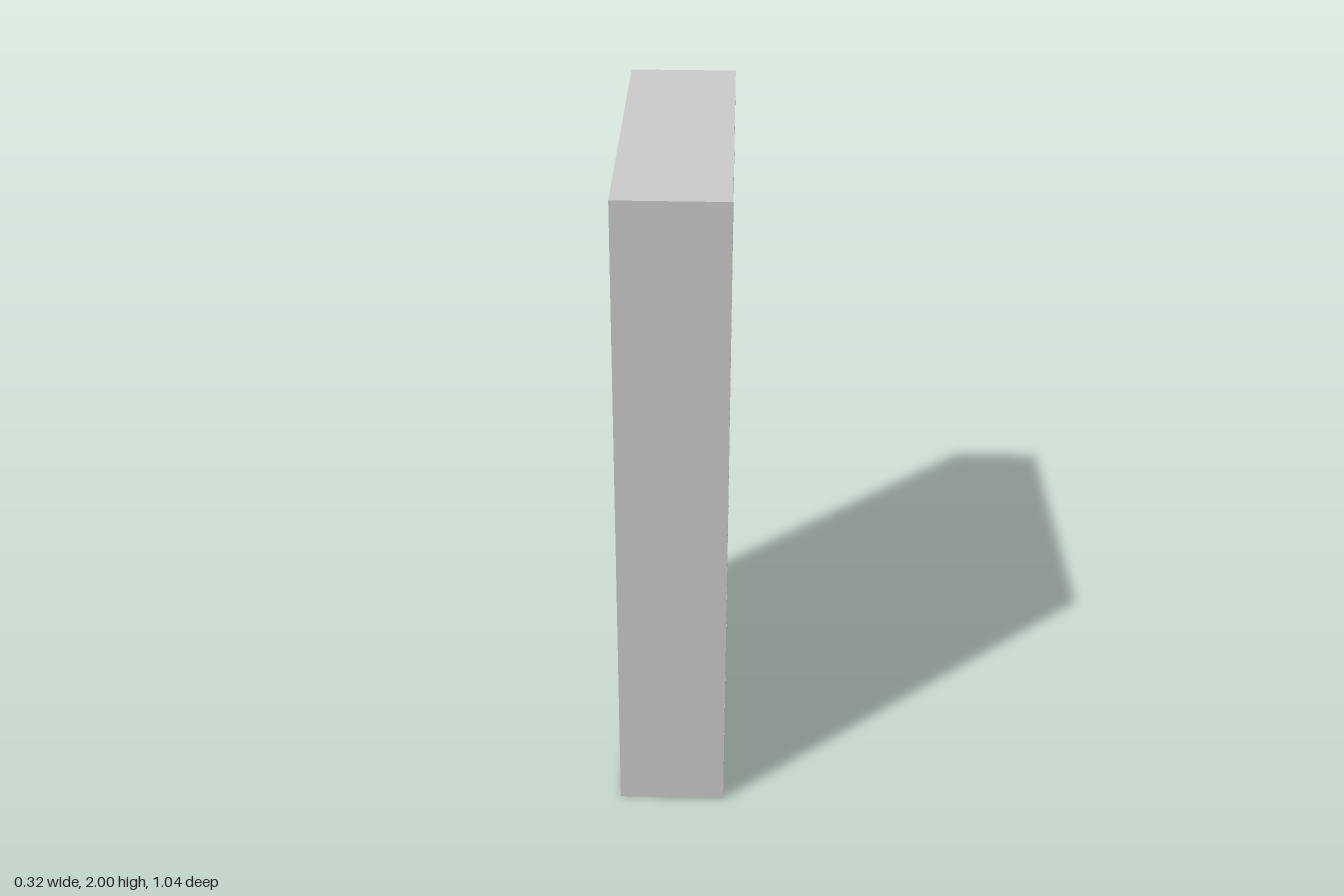
import * as THREE from 'three';

const W = 0.16, H = 2, D = 0.522;          // half width, height, half depth
const RECESS = 0.035;                      // how far the doors sit behind the frame
const DOOR_Z = 0.26, DOOR_HALF = 0.215;    // door centre and half width along z
const Y0 = 0.1, Y1 = 1.9;                  // bottom and top of the openings

const material = new THREE.MeshStandardMaterial({
  color: 0xcccccc, side: THREE.DoubleSide, flatShading: true,
});

// Rectangle in the side plane; z runs along the shape's negative x
function rect(z0, z1, y0, y1, Type = THREE.Shape) {
  return new Type([[-z1, y0], [-z0, y0], [-z0, y1], [-z1, y1]]
    .map(([x, y]) => new THREE.Vector2(x, y)));
}

export function createModel() {
  const group = new THREE.Group();
  group.name = 'cabinet';

  const add = (name, geometry, x = 0, y = 0, z = 0, parent = group) => {
    const mesh = new THREE.Mesh(geometry, material);
    mesh.name = name;
    mesh.position.set(x, y, z);
    parent.add(mesh);
    return mesh;
  };

  // Flat sheet facing +x, with rectangular openings
  const sheet = (name, shape, holes, x, parent) => {
    shape.holes = holes;
    return add(name, new THREE.ShapeGeometry(shape).rotateY(Math.PI / 2), x, 0, 0, parent);
  };

  // Thin outer shell
  for (const s of [-1, 1]) {
    add(s > 0 ? 'frontWall' : 'backWall',
      new THREE.PlaneGeometry(2 * W, H).rotateY(s > 0 ? 0 : Math.PI), 0, H / 2, s * D);
    add(s > 0 ? 'topWall' : 'floor',
      new THREE.PlaneGeometry(2 * W, 2 * D).rotateX(-s * Math.PI / 2), 0, s > 0 ? H : 0, 0);
  }

  // Frame around the two doors, and the open side with its rim
  const doors = [-1, 1].map((s) => [s * DOOR_Z - DOOR_HALF, s * DOOR_Z + DOOR_HALF]);
  sheet('doorFrame', rect(-D, D, 0, H),
    doors.map(([a, b]) => rect(a, b, Y0, Y1, THREE.Path)), W);
  const rim = sheet('openSideRim', rect(-D, D, 0, H),
    [rect(-0.475, 0.475, Y0, Y1, THREE.Path)], -W);
  rim.geometry.rotateY(Math.PI);

  // Recessed doors: panel plus the four reveals
  const height = Y1 - Y0, mid = (Y0 + Y1) / 2, revealX = W - RECESS / 2;
  doors.forEach(([a, b], i) => {
    const door = new THREE.Group();
    door.name = i ? 'frontDoor' : 'rearDoor';
    group.add(door);
    sheet('panel', rect(a, b, Y0, Y1), [], W - RECESS, door);
    for (const [z, turn] of [[a, 0], [b, Math.PI]]) {
      add('sideReveal', new THREE.PlaneGeometry(RECESS, height).rotateY(turn),
        revealX, mid, z, door);
    }
    for (const [y, turn] of [[Y0, -Math.PI / 2], [Y1, Math.PI / 2]]) {
      add('endReveal', new THREE.PlaneGeometry(RECESS, b - a).rotateX(turn),
        revealX, y, (a + b) / 2, door);
    }
  });

  // Raised rectangular pull on the front door
  const pull = rect(0.365, 0.46, 1.02, 1.29);
  pull.holes = [rect(0.369, 0.456, 1.03, 1.28, THREE.Path)];
  add('handle', new THREE.ExtrudeGeometry(pull, { depth: 0.027, bevelEnabled: false })
    .rotateY(Math.PI / 2), W - RECESS - 0.001);

  return group;
}
